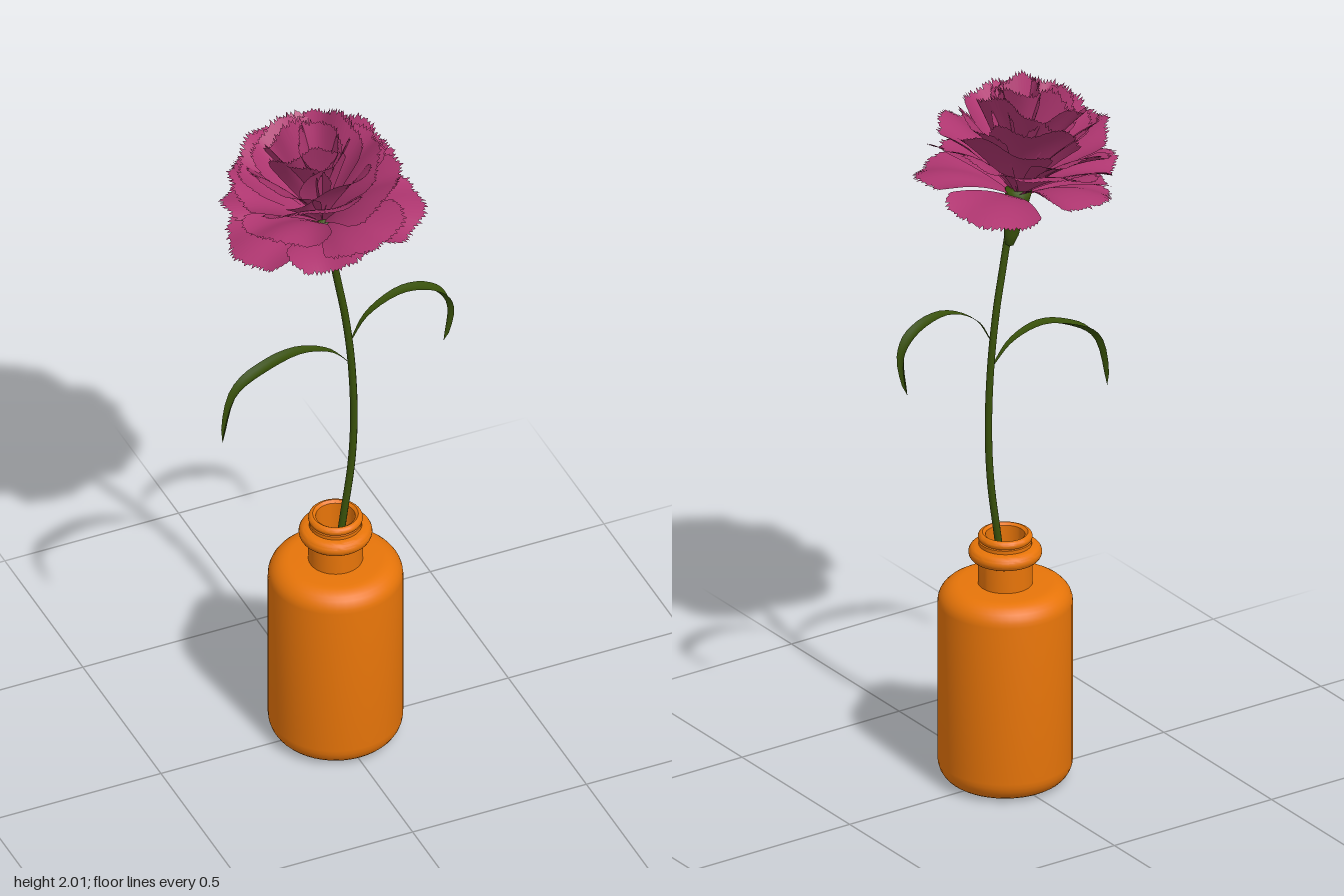
import * as THREE from 'three';
import { toCreasedNormals } from 'three/addons/utils/BufferGeometryUtils.js';

const V = (x, y, z = 0.012) => new THREE.Vector3(x, y, z);

// Grid surface from a rule point(u, v), u and v in 0..1
function surface(nu, nv, point) {
  const pos = [], index = [];
  for (let j = 0; j <= nv; j++) {
    for (let i = 0; i <= nu; i++) {
      pos.push(...point(i / nu, j / nv, i));
      if (i < nu && j < nv) {
        const a = j * (nu + 1) + i, b = a + nu + 1;
        index.push(a, a + 1, b, a + 1, b + 1, b);
      }
    }
  }
  const g = new THREE.BufferGeometry();
  g.setAttribute('position', new THREE.Float32BufferAttribute(pos, 3));
  g.setIndex(index);
  g.computeVertexNormals();
  return g;
}

// Seeded random numbers
let seed = 11;
function rand(a, b) {
  seed = (seed * 16807) % 2147483647;
  return a + (b - a) * (seed / 2147483647);
}

// Fan-shaped petal with a fringed rim; elevation bends from e0 at the base to e1 at the tip
function petalGeometry(L, half, e0, e1, cup) {
  const n = 60, jag = [], phase = rand(0, 6), ruffle = rand(0.006, 0.014);
  for (let i = 0; i <= n; i++) jag.push((i % 2 ? 0.015 : -0.02) + rand(-0.02, 0.02));
  const path = [[0, 0]], steps = 40;
  for (let k = 0; k < steps; k++) {
    const e = e0 + (e1 - e0) * (k / steps);
    const [r, y] = path[k];
    path.push([r + Math.cos(e) * L / steps, y + Math.sin(e) * L / steps]);
  }
  return surface(n, 9, (u, v, i) => {
    const q = u * 2 - 1, a = q * half;
    const rim = 1 - 0.2 * q ** 4 + 0.025 * Math.sin(q * 7 + phase) + (v === 1 ? jag[i] : 0);
    const len = L * (0.04 + 0.96 * v) * rim;
    const s = Math.min(len * Math.cos(a) / L, 1.05), t = len * Math.sin(a);
    const f = s * steps, k = Math.min(Math.floor(f), steps - 1), w = f - k;
    const e = e0 + (e1 - e0) * s;
    const lift = cup * t * t + ruffle * v * v * Math.sin(q * 5 + phase);
    const r = path[k][0] + (path[k + 1][0] - path[k][0]) * w - Math.sin(e) * lift;
    const y = path[k][1] + (path[k + 1][1] - path[k][1]) * w + Math.cos(e) * lift;
    return [r, y, t];
  });
}

// Leaf blade following a curve in the xy plane, folding deeper towards its tip
function leafGeometry(points, width, side) {
  const curve = new THREE.CatmullRomCurve3(points);
  return surface(4, 22, (u, v) => {
    const p = curve.getPoint(v), d = curve.getTangent(v), q = u * 2 - 1;
    const w = width * Math.min(1, 0.12 + v * 1.7) * Math.min(1, Math.sqrt((1 - v) * 3));
    const fold = Math.abs(q) * w * (0.1 + 1.1 * v * v) * side;
    return [p.x - d.y * fold, p.y + d.x * fold, p.z + q * w];
  });
}

export function createModel() {
  const model = new THREE.Group();
  const material = (name, color) => {
    const m = new THREE.MeshStandardMaterial({ color, side: THREE.DoubleSide });
    m.name = name;
    return m;
  };
  const orange = material('orange glaze', 0xe87509);
  const green = material('leaf green', 0x38500a);
  const magenta = material('petal magenta', 0xaf3670);
  const add = (parent, name, geometry, mat) => {
    const mesh = new THREE.Mesh(geometry, mat);
    mesh.name = name;
    parent.add(mesh);
    return mesh;
  };

  // Bottle: rounded body, neck, collar ring, lip and hollow inside
  const profile = [];
  const arc = (cx, cy, rx, ry, from, to, n = 7) => {
    for (let i = 0; i <= n; i++) {
      const a = THREE.MathUtils.degToRad(from + (to - from) * i / n);
      profile.push(new THREE.Vector2(cx + rx * Math.cos(a), cy + ry * Math.sin(a)));
    }
  };
  const line = (...pts) => pts.forEach(([x, y]) => profile.push(new THREE.Vector2(x, y)));
  line([0, 0.005]);
  arc(0.122, 0.06, 0.056, 0.06, -90, 0);
  arc(0.122, 0.513, 0.056, 0.053, 0, 90);
  line([0.072, 0.566], [0.072, 0.632]);
  arc(0.076, 0.656, 0.021, 0.021, -90, 90, 10);
  line([0.07, 0.678], [0.07, 0.688]);
  arc(0.06, 0.7, 0.012, 0.012, -60, 90, 8);
  line([0.052, 0.706], [0.052, 0.56], [0.12, 0.53], [0.155, 0.48], [0.155, 0.06], [0, 0.03]);
  const bottle = add(model, 'bottle', toCreasedNormals(new THREE.LatheGeometry(profile, 48), 0.6), orange);
  bottle.position.set(-0.002, 0, 0.01);

  // Stem
  const stem = new THREE.CatmullRomCurve3([
    V(-0.05, 0.06), V(-0.02, 0.4), V(0.02, 0.7), V(0.043, 0.87), V(0.05, 1.02),
    V(0.043, 1.2), V(0.025, 1.36), V(0.004, 1.48), V(-0.012, 1.57)]);
  add(model, 'stem', new THREE.TubeGeometry(stem, 60, 0.01, 10), green);

  // Leaves
  add(model, 'leftLeaf', leafGeometry([
    V(0.038, 1.27), V(0.09, 1.35), V(0.19, 1.394), V(0.28, 1.365), V(0.317, 1.31), V(0.308, 1.19)], 0.021, 1), green);
  add(model, 'rightLeaf', leafGeometry([
    V(0.04, 1.2), V(-0.02, 1.26), V(-0.11, 1.285), V(-0.21, 1.255), V(-0.285, 1.2), V(-0.328, 1.05)], 0.022, -1), green);

  // Flower head, leaning towards the right side
  const flower = new THREE.Group();
  flower.name = 'flower';
  flower.position.set(-0.035, 1.675, 0.003);
  flower.rotation.z = 0.19;
  model.add(flower);

  // Calyx under the petals
  const cup = [[0, -0.135], [0.011, -0.13], [0.02, -0.1], [0.026, -0.05], [0.033, 0.0], [0.036, 0.025], [0, 0.03]];
  add(flower, 'calyx', new THREE.LatheGeometry(cup.map(p => new THREE.Vector2(...p)), 16), green);

  // Petal rings, outermost first: count, length, half width angle, start and end elevation, cupping, turn
  const rings = [
    [5, 0.275, 0.62, 0.6, -0.4, 0.4, 0.5],
    [5, 0.285, 0.6, 0.8, 0, 0.6, 0],
    [5, 0.3, 0.58, 0.95, 0.35, 0.8, 0.4],
    [5, 0.305, 0.54, 1.15, 0.65, 1.2, 0.85],
    [4, 0.31, 0.48, 1.35, 0.95, 1.6, 0.3],
    [4, 0.3, 0.42, 1.5, 1.25, 2.2, 0.7],
  ];
  rings.forEach(([count, L, half, e0, e1, bowl, turn], ring) => {
    for (let i = 0; i < count; i++) {
      const bend = rand(-0.16, 0.16);
      const g = petalGeometry(L * rand(0.95, 1.03), half, e0 + bend, e1 + bend, bowl);
      const petal = add(flower, `petalRing${ring + 1}`, g, magenta);
      petal.rotation.y = (i + turn + rand(-0.1, 0.1)) / count * Math.PI * 2;
      petal.position.y = 0.004 * ring;
    }
  });
  return model;
}
